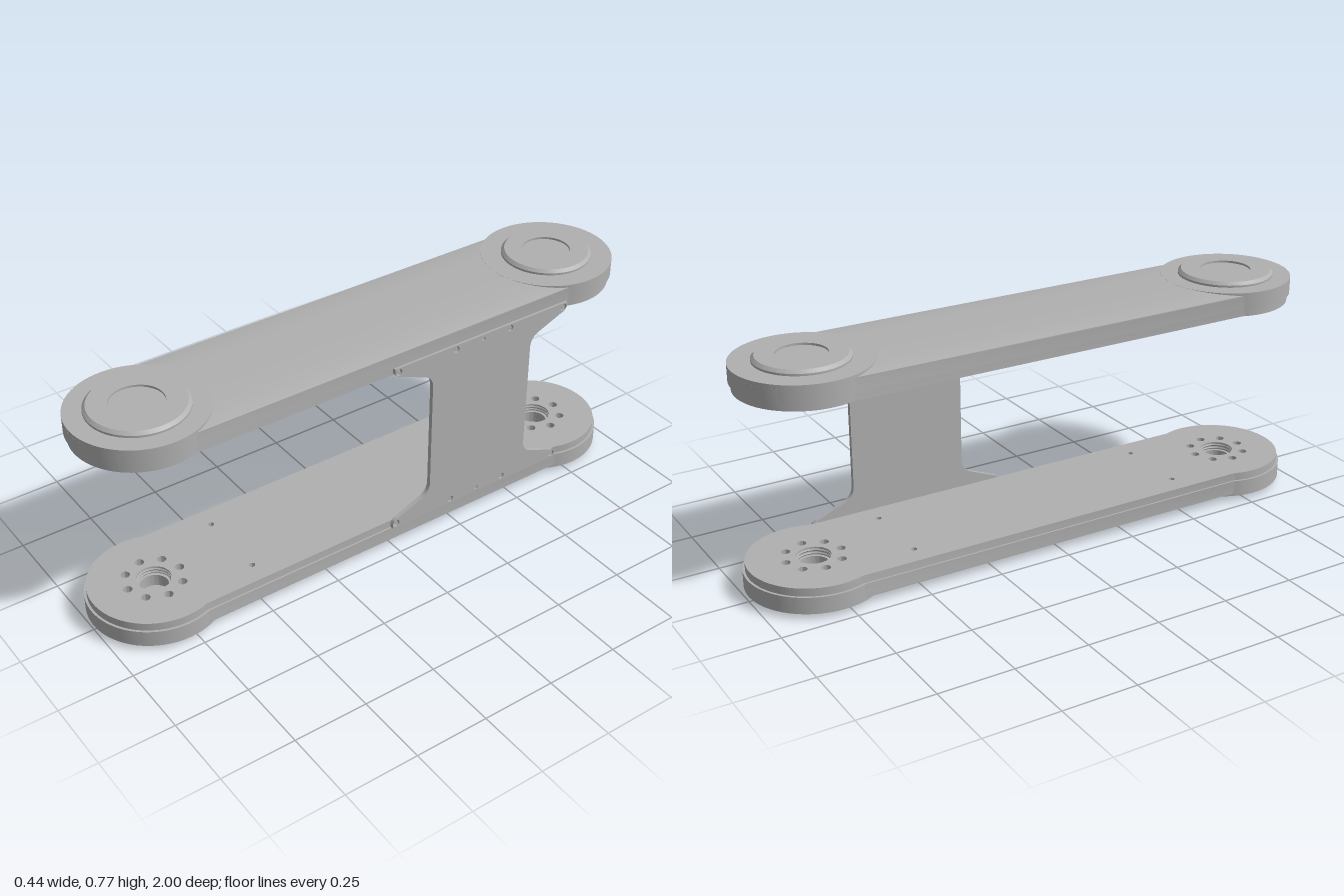
import * as THREE from 'three';
import { toCreasedNormals } from 'three/addons/utils/BufferGeometryUtils.js';

const END = 0.78;      // distance of each joint from the middle
const HEIGHT = 0.772;  // overall height

export function createModel() {
  const grey = new THREE.MeshStandardMaterial({ color: 0xb0b0b0 });
  grey.name = 'machined grey';
  const model = new THREE.Group();
  model.name = 'twinArmLink';

  function add(parent, name, geometry) {
    const mesh = new THREE.Mesh(toCreasedNormals(geometry, 0.5), grey);
    mesh.name = name;
    parent.add(mesh);
    return mesh;
  }

  function hole(shape, x, y, r) {
    shape.holes.push(new THREE.Path().absarc(x, y, r, 0, Math.PI * 2, true));
  }

  // Straight bar with a larger round at each end
  function armOutline(r, halfWidth) {
    const a = Math.acos(halfWidth / r);
    const shape = new THREE.Shape();
    shape.absarc(0, END, r, -a, Math.PI + a, false);
    shape.absarc(0, -END, r, Math.PI - a, Math.PI * 2 + a, false);
    shape.closePath();
    return shape;
  }

  // Extrude a ground-plan shape upwards between two heights
  function slab(shape, y0, y1) {
    return new THREE.ExtrudeGeometry(shape, { depth: y1 - y0, bevelEnabled: false, curveSegments: 40 })
      .rotateX(-Math.PI / 2).translate(0, y0, 0);
  }

  function lathe(points) {
    return new THREE.LatheGeometry(points.map(p => new THREE.Vector2(p[0], p[1])), 64);
  }

  // One arm, outer face at y = 0 and inner face at y = 0.1
  function makeArm(name, openBores) {
    const arm = new THREE.Group();
    arm.name = name;

    const shell = armOutline(0.22, 0.205);
    const plate = armOutline(0.212, 0.199);
    for (const s of [-1, 1]) {
      hole(shell, 0, s * END, openBores ? 0.165 : 0.046);
      hole(plate, 0, s * END, openBores ? 0.18 : 0.056);
      for (const x of [-0.125, 0.125]) hole(plate, x, s * 0.495, 0.01);
      if (!openBores) {
        for (let i = 0; i < 8; i++) {
          const t = i * Math.PI / 4;
          hole(plate, 0.093 * Math.cos(t), s * END + 0.093 * Math.sin(t), 0.015);
        }
      }
    }
    add(arm, 'armShell', slab(shell, 0.03, 0.073));
    add(arm, 'innerPlate', slab(plate, 0.073, 0.1));

    // Gently crowned outer face of the bar
    const crown = new THREE.Shape();
    crown.moveTo(0.205, 0.031);
    for (let i = 0; i <= 24; i++) {
      const t = 1 - i / 12;
      crown.lineTo(0.205 * t, 0.0174 + 0.009 * t ** 4);
    }
    crown.lineTo(-0.205, 0.031);
    add(arm, 'crownedFace', new THREE.ExtrudeGeometry(crown, { depth: 1.4, bevelEnabled: false })
      .translate(0, 0, -0.7));

    for (const s of [-1, 1]) {
      // Round joint face with chamfered cap and shallow centre recess
      const r = s > 0 ? 0.16 : 0.15;
      const c = s > 0 ? 0.085 : 0.08;
      const cap = lathe([[0, 0.007], [c, 0.007], [c, 0], [r - 0.01, 0], [r, 0.01], [r, 0.017],
        [0.22, 0.017], [0.22, 0.031], [0, 0.031]]);
      add(arm, 'jointCap', cap).position.z = s * END;
      if (openBores) {
        // Stepped seat inside the open bore
        const seat = lathe([[0.136, 0.03], [0.166, 0.03], [0.166, 0.05], [0.136, 0.05], [0.136, 0.03]]);
        add(arm, 'bearingSeat', seat).position.z = s * END;
        add(arm, 'boreBoss', lathe([[0.085, 0.03], [0.085, 0.037], [0, 0.037]])).position.z = s * END;
      } else {
        // Ridges inside the threaded centre hole
        for (const y of [0.079, 0.09]) {
          const ridge = new THREE.TorusGeometry(0.056, 0.004, 6, 40).rotateX(Math.PI / 2);
          add(arm, 'threadRidge', ridge).position.set(0, y, s * END);
        }
      }
    }
    model.add(arm);
    return arm;
  }

  makeArm('lowerArm', false);
  const upper = makeArm('upperArm', true);
  upper.rotation.z = Math.PI;
  upper.position.y = HEIGHT;

  // Waisted side plate joining both arms, drawn with u = -z
  const mid = HEIGHT / 2, foot = 0.074, uc = 0.345;
  const web = new THREE.Shape();
  const corner = (sx, sy, flip) => {
    // Half-width from the plate centre and height above the foot
    const p = (w, h) => [uc + sx * w, sy > 0 ? HEIGHT - foot - h : foot + h];
    if (!flip) {
      web.lineTo(...p(0.35, 0));
      web.lineTo(...p(0.35, 0.014));
      web.quadraticCurveTo(...p(0.347, 0.03), ...p(0.325, 0.036));
      web.lineTo(...p(0.235, 0.072));
      web.quadraticCurveTo(...p(0.2, 0.087), ...p(0.2, 0.122));
    } else {
      web.lineTo(...p(0.2, 0.122));
      web.quadraticCurveTo(...p(0.2, 0.087), ...p(0.235, 0.072));
      web.lineTo(...p(0.325, 0.036));
      web.quadraticCurveTo(...p(0.347, 0.03), ...p(0.35, 0.014));
      web.lineTo(...p(0.35, 0));
    }
  };
  web.moveTo(uc, foot);
  corner(1, -1, false);
  corner(1, 1, true);
  corner(-1, 1, false);
  corner(-1, -1, true);
  web.closePath();

  // Screw holes with recessed heads along both edges
  const screws = [[0.01, 0.012], [0.235, 0.011], [0.345, 0.007], [0.455, 0.011], [0.68, 0.012]];
  for (const [u, r] of screws) {
    for (const s of [-1, 1]) {
      const y = mid + s * (mid - 0.09);
      hole(web, u, y, r);
      const head = new THREE.CylinderGeometry(r * 0.65, r * 0.65, 0.012, 16).rotateZ(Math.PI / 2);
      add(model, 'plateScrew', head).position.set(0.203, y, -u);
    }
  }
  add(model, 'sidePlate', new THREE.ExtrudeGeometry(web, { depth: 0.015, bevelEnabled: false, curveSegments: 10 })
    .rotateY(Math.PI / 2).translate(0.197, 0, 0));

  return model;
}
